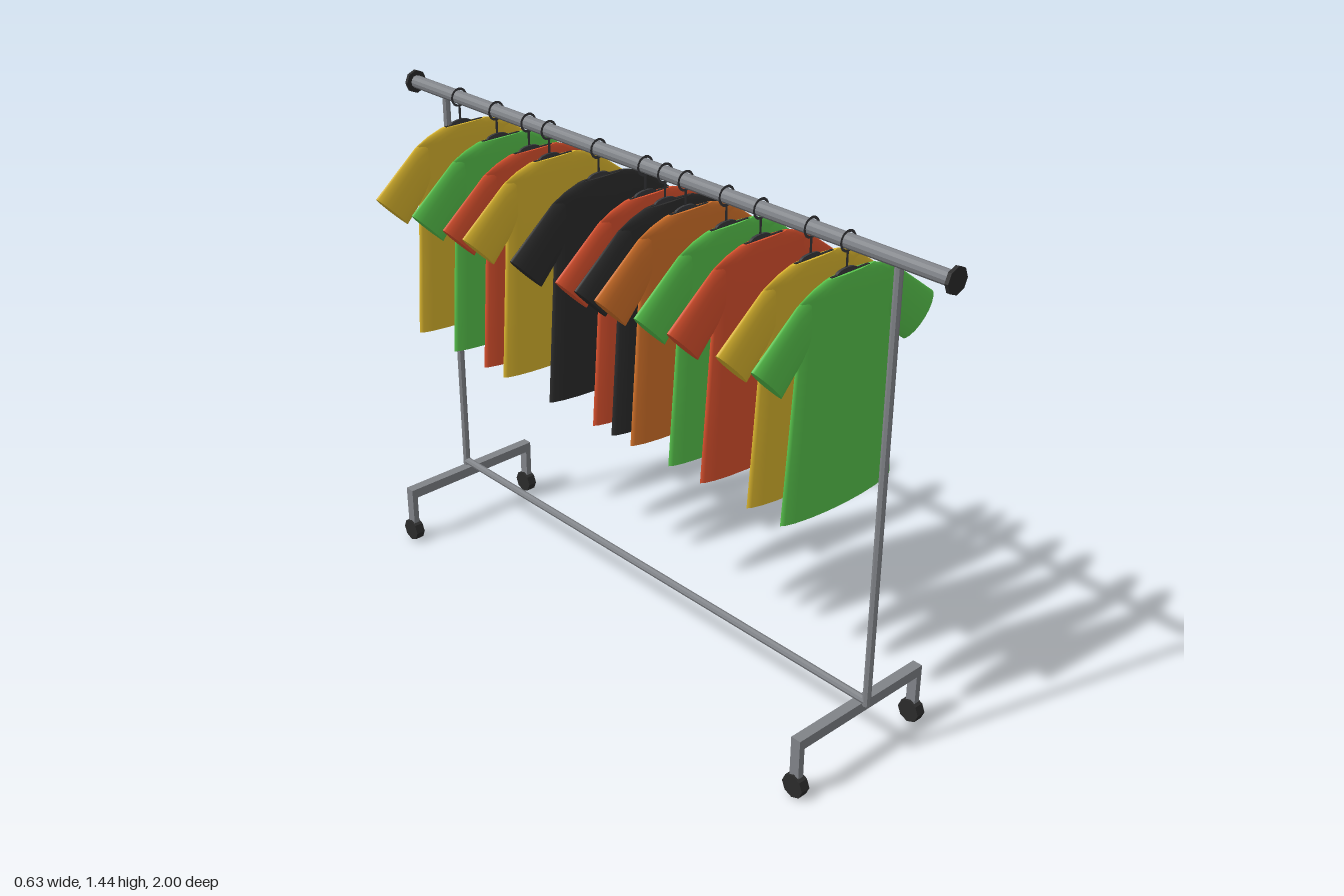
import * as THREE from 'three';
import { mergeGeometries } from 'three/addons/utils/BufferGeometryUtils.js';

const SIDES = 20;
const mat = (name, color, side = THREE.FrontSide) => {
  const m = new THREE.MeshStandardMaterial({ color, side });
  m.name = name;
  return m;
};

// Lens-shaped ring spanning points a and b (x, y), with half depth d in z
function ring([a, b, d]) {
  const pts = [];
  for (let i = 0; i < SIDES; i++) {
    const t = (i / SIDES) * Math.PI * 2, c = (1 + Math.cos(t)) / 2, s = Math.sin(t);
    pts.push([b[0] + (a[0] - b[0]) * c, b[1] + (a[1] - b[1]) * c, d * Math.sign(s) * Math.abs(s) ** 1.25]);
  }
  return pts;
}

function build(points, index) {
  const g = new THREE.BufferGeometry();
  g.setAttribute('position', new THREE.Float32BufferAttribute(points.flat(), 3));
  g.setIndex(index);
  g.computeVertexNormals();
  return g;
}

// Skin between successive rings
function loft(sections) {
  const index = [];
  for (let r = 0; r < sections.length - 1; r++) {
    for (let i = 0; i < SIDES; i++) {
      const j = (i + 1) % SIDES, a = r * SIDES + i, b = r * SIDES + j;
      index.push(a, a + SIDES, b, b, a + SIDES, b + SIDES);
    }
  }
  return build(sections.flatMap(ring), index);
}

// Flat fan closing the first or last ring of a loft
function cap(section, last) {
  const [a, b] = section, index = [];
  for (let i = 0; i < SIDES; i++) {
    const j = (i + 1) % SIDES;
    index.push(SIDES, last ? j : i, last ? i : j);
  }
  return build([...ring(section), [(a[0] + b[0]) / 2, (a[1] + b[1]) / 2, 0]], index);
}

function shirtGeometries() {
  // Torso rows: height, half width, half depth
  const torso = [
    [0.72, 0.2, 0.031], [0.92, 0.186, 0.027], [1.117, 0.172, 0.023], [1.2, 0.17, 0.021],
    [1.288, 0.169, 0.015], [1.309, 0.127, 0.013], [1.323, 0.084, 0.01],
  ].map(([y, w, d]) => [[w, y], [-w, y], d]);
  const parts = [loft(torso), cap(torso[torso.length - 1], true)];
  // Sleeves: lower and upper edge points, half depth; one hangs slightly lower
  for (const s of [1, -1]) {
    const drop = s > 0 ? 0 : 0.015;
    const sleeve = [
      [[0.135, 1.145], [0.135, 1.302], 0.013],
      [[0.172, 1.115], [0.172, 1.286], 0.014],
      [[0.216, 1.083 - drop], [0.314, 1.182 - drop], 0.022],
    ].map(([lo, hi, d]) => {
      const p = [s * lo[0], lo[1]], q = [s * hi[0], hi[1]];
      return s > 0 ? [p, q, d] : [q, p, d];
    });
    parts.push(loft(sleeve), cap(sleeve[2], true));
  }
  return { body: mergeGeometries(parts), hem: cap(torso[0], false) };
}

export function createModel() {
  const model = new THREE.Group();
  model.name = 'clothesRack';

  const steel = mat('steel', 0x808388);
  const rubber = mat('blackRubber', 0x2b2b2b);
  const hookMat = mat('hangerDark', 0x3a3b3e, THREE.DoubleSide);
  const navy = mat('navyLining', 0x00128a);
  const fabric = {
    green: mat('greenFabric', 0x5ac84e),
    yellow: mat('yellowFabric', 0xdfb92f),
    red: mat('redFabric', 0xe0532f),
    orange: mat('orangeFabric', 0xd9752b),
    black: mat('blackFabric', 0x2d2d2d),
  };

  const add = (name, geo, material, x, y, z, parent = model) => {
    const m = new THREE.Mesh(geo, material);
    m.name = name;
    m.position.set(x, y, z);
    parent.add(m);
    return m;
  };
  const rod = (r, len, axis, sides = 8) => {
    const g = new THREE.CylinderGeometry(r, r, len, sides).toNonIndexed();
    if (axis === 'x') g.rotateZ(Math.PI / 2);
    if (axis === 'z') g.rotateX(Math.PI / 2);
    g.computeVertexNormals();
    return g;
  };
  const box = (w, h, d) => new THREE.BoxGeometry(w, h, d);

  // Frame
  const X = -0.015;
  add('hangingRail', rod(0.019, 1.99, 'z', 12), steel, X, 1.4, 0);
  add('lowerRail', rod(0.011, 1.69, 'z'), steel, X, 0.19, -0.004);
  for (const s of [1, -1]) {
    add('railEndCap', rod(0.034, 0.01, 'z'), rubber, X, 1.4, s * 0.995);
    add('upright', rod(0.011, 1.22, 'y'), steel, X, 0.788, s * 0.843 - 0.004);
    const z = s * 0.823 - 0.011;
    add('footBar', box(0.469, 0.03, 0.03), steel, -0.0135, 0.163, z);
    for (const t of [1, -1]) {
      add('casterLeg', box(0.018, 0.1, 0.03), steel, -0.0135 + t * 0.2255, 0.1, z);
      add('casterWheel', rod(0.034, 0.028, 'x'), rubber, -0.0145 + t * 0.225, 0.033, z);
    }
  }

  // Shirts on hangers, front to back
  const { body, hem } = shirtGeometries();
  const shirts = [
    [0.688, 'green'], [0.576, 'yellow'], [0.413, 'red'], [0.297, 'green'], [0.153, 'orange'],
    [0.078, 'black'], [0.004, 'red'], [-0.178, 'black'], [-0.382, 'yellow'], [-0.469, 'red'],
    [-0.612, 'green'], [-0.784, 'yellow'],
  ];
  const hookRing = new THREE.RingGeometry(0.021, 0.028, 16);
  const hookStem = new THREE.PlaneGeometry(0.008, 0.055);
  const shoulder = new THREE.CylinderGeometry(0.036, 0.036, 0.007, 16, 1, false, 0, Math.PI * 2)
    .rotateX(Math.PI / 2).scale(1, 0.33, 1);
  for (const [z, colour] of shirts) {
    const g = new THREE.Group();
    g.name = 'hangingShirt';
    g.position.set(-0.003, 0, z);
    model.add(g);
    add('shirtBody', body, fabric[colour], 0, 0, 0, g);
    add('shirtHem', hem, colour === 'black' ? navy : fabric[colour], 0, 0, 0, g);
    add('hangerNeck', shoulder, hookMat, X + 0.003, 1.324, 0, g);
    add('neckOpening', box(0.13, 0.002, 0.007), rubber, 0, 1.3235, 0, g);
    add('hookStem', hookStem, hookMat, X + 0.003, 1.352, 0, g);
    add('hookRing', hookRing, steel.side === hookMat.side ? steel : hookMat, X + 0.003, 1.4, 0, g);
  }
  return model;
}
